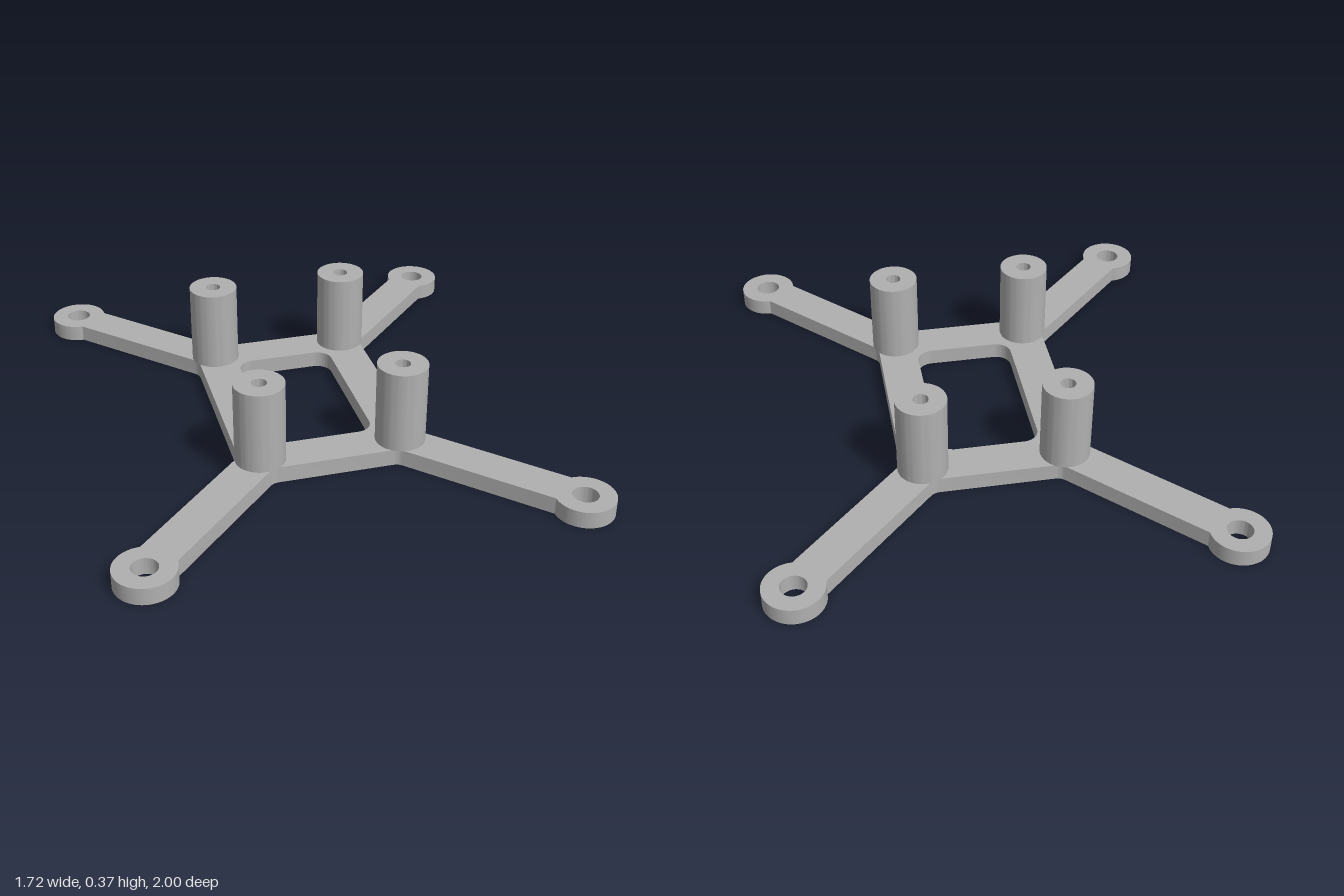
import * as THREE from 'three';
import { toCreasedNormals } from 'three/addons/utils/BufferGeometryUtils.js';

const V = (x, y) => new THREE.Vector2(x, y);
const PLATE = 0.063, TOP = 0.372;
const POST = V(0.261, 0.388), POST_R = 0.092, BORE_R = 0.028;
const TIP = V(0.754, 0.893), TIP_R = 0.107, TIP_HOLE = 0.046;
const HALF_W = 0.335, HALF_L = 0.462, ARM_HALF = 0.073;

// Extrude a plan shape upwards, keeping rounded walls smooth and edges sharp
function slab(shape, height, base) {
  const g = new THREE.ExtrudeGeometry(shape, { depth: height, bevelEnabled: false, curveSegments: 32 });
  g.rotateX(-Math.PI / 2);
  g.translate(0, base, 0);
  return toCreasedNormals(g, 0.5);
}

function circle(x, y, r) {
  return new THREE.Path().absarc(x, y, r, 0, Math.PI * 2, false);
}

// Small fillet at a corner between two directions
function fillet(corner, dirIn, dirOut, t = 0.02) {
  const a = corner.clone().addScaledVector(dirIn, t);
  const b = corner.clone().addScaledVector(dirOut, t);
  return new THREE.QuadraticBezierCurve(a, corner, b).getPoints(6);
}

// One quarter of the outline, from the short end round the arm tip to the long side
function quarterOutline() {
  const d = TIP.clone().sub(POST).normalize();
  const n = V(-d.y, d.x);
  const p = POST.clone().addScaledVector(n, ARM_HALF);
  const q = POST.clone().addScaledVector(n, -ARM_HALF);
  const endCorner = p.clone().addScaledVector(d, (HALF_L - p.y) / d.y);
  const sideCorner = q.clone().addScaledVector(d, (HALF_W - q.x) / d.x);
  const pts = fillet(endCorner, V(-1, 0), d);
  const mid = d.angle(), open = Math.PI - Math.asin(ARM_HALF / TIP_R);
  for (let i = 0; i <= 48; i++) {
    const a = mid + open - (2 * open * i) / 48;
    pts.push(V(TIP.x + TIP_R * Math.cos(a), TIP.y + TIP_R * Math.sin(a)));
  }
  return pts.concat(fillet(sideCorner, d, V(0, -1)));
}

function roundedWindow(w, l, r) {
  const h = new THREE.Path();
  h.absarc(w - r, l - r, r, 0, Math.PI / 2, false);
  h.absarc(-w + r, l - r, r, Math.PI / 2, Math.PI, false);
  h.absarc(-w + r, -l + r, r, Math.PI, Math.PI * 1.5, false);
  h.absarc(w - r, -l + r, r, Math.PI * 1.5, Math.PI * 2, false);
  h.closePath();
  return h;
}

export function createModel() {
  const model = new THREE.Group();
  model.name = 'mountingBracket';
  const grey = new THREE.MeshStandardMaterial({ color: 0xb0b0b0 });
  grey.name = 'plainGrey';
  const corners = [[1, 1], [1, -1], [-1, -1], [-1, 1]];

  // Flat frame with four arms and eyelets
  const quarter = quarterOutline();
  const outline = corners.flatMap(([sx, sy]) => {
    const pts = quarter.map(p => V(p.x * sx, p.y * sy));
    return sx * sy > 0 ? pts : pts.reverse();
  });
  const plan = new THREE.Shape(outline);
  plan.holes.push(roundedWindow(0.187, 0.311, 0.06));
  for (const [sx, sy] of corners) plan.holes.push(circle(TIP.x * sx, TIP.y * sy, TIP_HOLE));
  const frame = new THREE.Mesh(slab(plan, PLATE, 0), grey);
  frame.name = 'frame';
  model.add(frame);

  // Bored standoff posts on the frame corners
  const ring = new THREE.Shape();
  ring.absarc(0, 0, POST_R, 0, Math.PI * 2, false);
  ring.holes.push(circle(0, 0, BORE_R));
  const postGeometry = slab(ring, TOP - PLATE, PLATE);
  for (const [sx, sz] of corners) {
    const post = new THREE.Mesh(postGeometry, grey);
    post.name = (sz > 0 ? 'front' : 'back') + (sx > 0 ? 'Left' : 'Right') + 'Standoff';
    post.position.set(POST.x * sx, 0, POST.y * sz);
    model.add(post);
  }
  return model;
}
